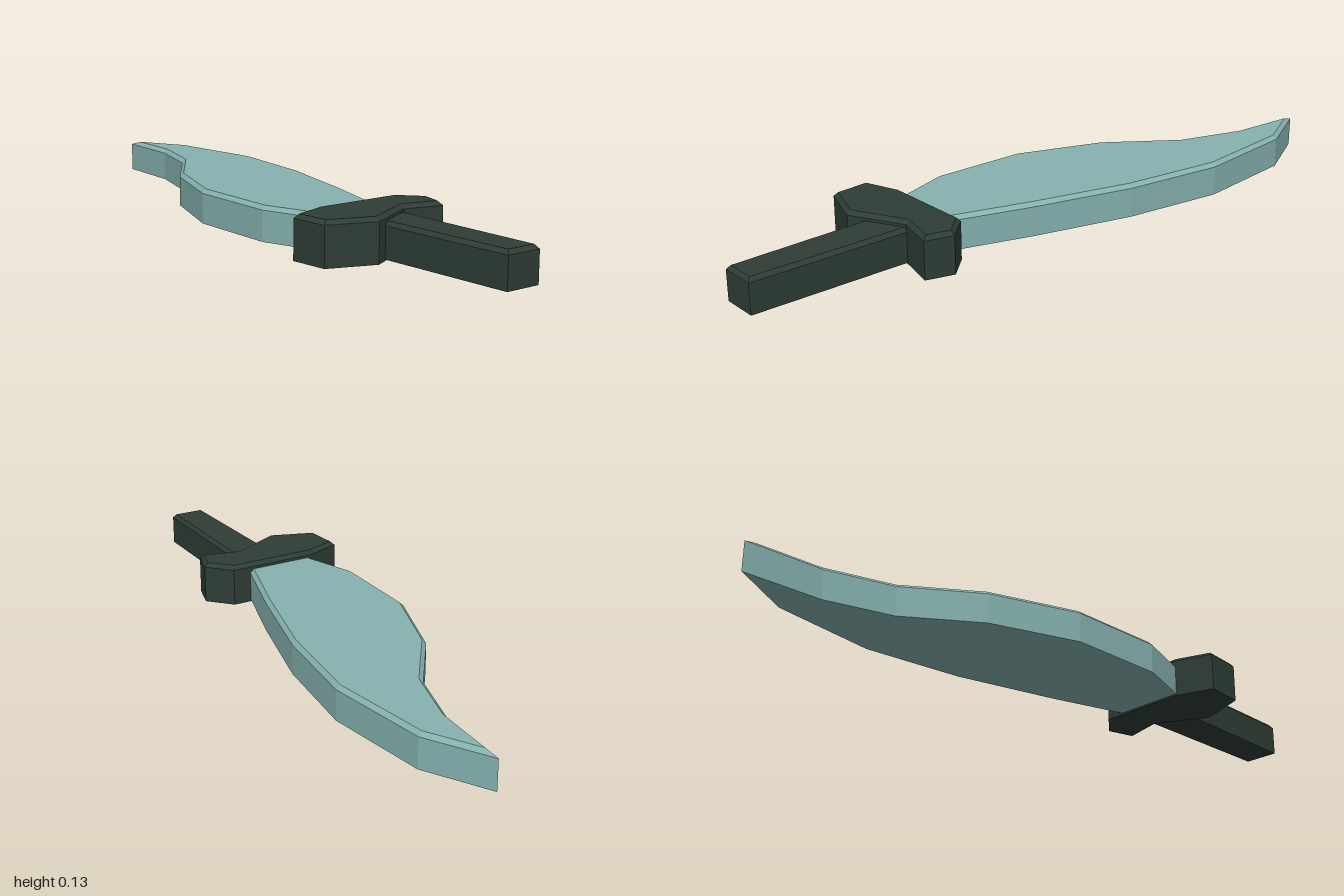
import * as THREE from 'three';

// Outline points are [x, z] seen from above.
const bladeOutline = [
  [0.135, -1.0], [0.235, -0.81], [0.27, -0.48], [0.225, -0.17], [0.14, 0.14], [0.06, 0.39], [0.05, 0.42],
  [-0.145, 0.42], [-0.155, 0.39], [-0.21, 0.21], [-0.2, -0.09], [-0.1, -0.355], [0.05, -0.56], [0.115, -0.76],
];
const guardOutline = [
  [-0.155, 0.382], [0.12, 0.382], [0.185, 0.455], [0.16, 0.54],
  [0.04, 0.51], [-0.12, 0.592], [-0.262, 0.54], [-0.27, 0.422],
];
const gripOutline = [[-0.082, 0.45], [0.047, 0.45], [0.038, 1.0], [-0.073, 1.0]];

// Moves every edge of a counter-clockwise outline inward by the same distance.
function insetOutline(pts, distance) {
  const n = pts.length;
  const inward = (a, b) => new THREE.Vector2(a.y - b.y, b.x - a.x).normalize();
  return pts.map((p, i) => {
    const n1 = inward(pts[(i + n - 1) % n], p);
    const n2 = inward(p, pts[(i + 1) % n]);
    const mitre = n1.clone().add(n2);
    return p.clone().addScaledVector(mitre, distance / (1 + n1.dot(n2)));
  });
}

// Flat-bottomed slab whose upper rim is chamfered.
function chamferedSlab(outline, bottom, top, chamfer, inset) {
  const base = outline.map(([x, z]) => new THREE.Vector2(x, -z));
  if (THREE.ShapeUtils.isClockWise(base)) base.reverse();
  const n = base.length;
  const upper = insetOutline(base, inset);
  const rings = [[base, bottom], [base, top - chamfer], [upper, top]];
  const positions = [];
  const index = [];
  for (const [ring, y] of rings) for (const p of ring) positions.push(p.x, y, -p.y);

  // Walls, then chamfer
  for (let r = 0; r < 2; r++) {
    for (let i = 0; i < n; i++) {
      const a = r * n + i, b = r * n + (i + 1) % n;
      index.push(a, b, b + n, a, b + n, a + n);
    }
  }
  // Bottom and top faces
  for (const [a, b, c] of THREE.ShapeUtils.triangulateShape(base, [])) index.push(a, c, b);
  for (const [a, b, c] of THREE.ShapeUtils.triangulateShape(upper, [])) {
    index.push(a + 2 * n, b + 2 * n, c + 2 * n);
  }

  const indexed = new THREE.BufferGeometry();
  indexed.setAttribute('position', new THREE.Float32BufferAttribute(positions, 3));
  indexed.setIndex(index);
  const geometry = indexed.toNonIndexed();
  geometry.computeVertexNormals();
  return geometry;
}

export function createModel() {
  const steel = new THREE.MeshStandardMaterial({ color: 0x86b2b0 });
  steel.name = 'pale teal steel';
  const dark = new THREE.MeshStandardMaterial({ color: 0x2e3d36 });
  dark.name = 'dark green';

  const group = new THREE.Group();
  group.name = 'dagger';
  const add = (name, geometry, material) => {
    const mesh = new THREE.Mesh(geometry, material);
    mesh.name = name;
    group.add(mesh);
  };

  add('blade', chamferedSlab(bladeOutline, 0.005, 0.107, 0.012, 0.012), steel);
  add('guard', chamferedSlab(guardOutline, 0, 0.127, 0.012, 0.012), dark);
  add('grip', chamferedSlab(gripOutline, 0.004, 0.107, 0.012, 0.01), dark);
  return group;
}
